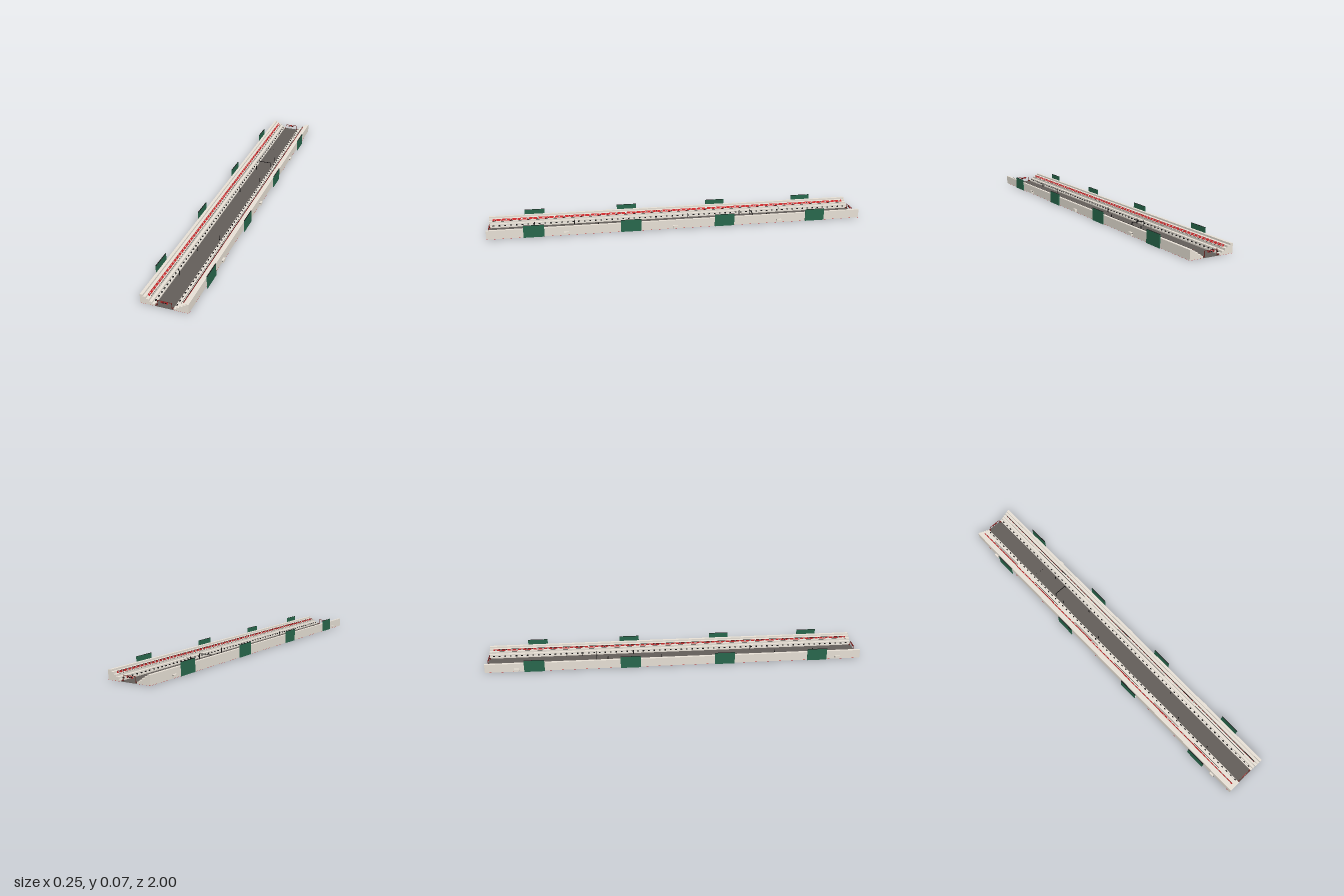
import * as THREE from 'three';

const mat = (name, color) => {
  const m = new THREE.MeshStandardMaterial({ color });
  m.name = name;
  return m;
};

export function createModel() {
  const concrete = mat('concrete', 0xe6dfd4);
  const asphalt = mat('asphalt', 0x635d59);
  const base = mat('base grey', 0x918a86);
  const red = mat('red', 0xc8282a);
  const darkRed = mat('dark red', 0x6a2a26);
  const green = mat('panel green', 0x28674c);
  const black = mat('black', 0x161414);
  const white = mat('white', 0xf2eee8);

  const root = new THREE.Group();
  root.name = 'raceStrip';

  const group = (name, parent = root) => {
    const g = new THREE.Group();
    g.name = name;
    parent.add(g);
    return g;
  };
  const box = (parent, name, m, w, h, d, x, y, z) => {
    const mesh = new THREE.Mesh(new THREE.BoxGeometry(w, h, d), m);
    mesh.name = name;
    mesh.position.set(x, y, z);
    parent.add(mesh);
    return mesh;
  };

  // Road on a pale base, thin red sheets under the stands
  box(root, 'roadBase', base, 0.09, 0.0006, 2, 0, 0.0003, 0);
  box(root, 'road', asphalt, 0.088, 0.0018, 2, 0, 0.0015, 0);
  for (const s of [-1, 1])
    box(root, 'foundation', red, 0.069, 0.0005, 2, s * 0.0795, 0.00025, 0);

  // Stepped stands, extruded along the road
  const steps = [[0.114, 0.046], [0.1, 0.0375], [0.086, 0.028], [0.071, 0.018], [0.057, 0.009], [0.044, 0.0025]];
  const profile = (s) => {
    const pts = [[0.044, 0.0005], [0.114, 0.0005], [0.114, 0.046]];
    for (let i = 1; i < steps.length; i++) {
      pts.push([steps[i][0], steps[i - 1][1]]);
      pts.push([steps[i][0], steps[i][1]]);
    }
    return new THREE.Shape(pts.map(([x, y]) => new THREE.Vector2(s * x, y)));
  };
  for (const s of [-1, 1]) {
    const geo = new THREE.ExtrudeGeometry(profile(s), { depth: 2, bevelEnabled: false });
    geo.translate(0, 0, -1);
    const stand = new THREE.Mesh(geo, concrete);
    stand.name = s > 0 ? 'leftStand' : 'rightStand';
    root.add(stand);
  }

  // Long red boards on the middle tier, with white and black marks facing the road
  for (const s of [-1, 1]) {
    const board = group(s > 0 ? 'leftBoard' : 'rightBoard');
    board.position.set(s < 0 ? -0.0815 : 0.0825, 0.0333, 0);
    board.rotation.z = s < 0 ? 0.7 : 0;
    const h = s < 0 ? 0.011 : 0.0095;
    box(board, 'boardPanel', red, 0.001, h, 1.96, 0, 0, 0);
    for (let i = 0; i < 70; i++) {
      const z = -0.966 + i * 0.028;
      box(board, 'whiteMark', white, 0.0006, 0.006, 0.01, -s * 0.0007, 0, z);
      box(board, 'blackMark', black, 0.0006, 0.003, 0.004, -s * 0.0011, 0, z);
    }
    if (s > 0) box(board, 'boardCap', black, 0.002, 0.0008, 1.96, 0, h / 2, 0);
    box(root, 'tierEdge', black, 0.001, 0.001, 1.96, s * 0.0717, 0.0282, 0);
  }

  // Low fence along each road edge: black posts between white panels
  for (const s of [-1, 1]) {
    const fence = group(s > 0 ? 'leftFence' : 'rightFence');
    for (let i = 0; i < 66; i++) {
      const z = -0.975 + i * 0.03;
      box(fence, 'fencePost', black, 0.005, 0.0115, 0.009, s * 0.0505, 0.008, z);
      if (i < 65) box(fence, 'fencePanel', white, 0.002, 0.008, 0.021, s * 0.0505, 0.008, z + 0.015);
    }
  }

  // Gate at each end with a lamp sign
  for (const s of [-1, 1]) {
    const gate = group(s > 0 ? 'startGate' : 'finishGate');
    const z = s * 0.994;
    for (const p of [-1, 1]) {
      box(gate, 'gatePost', darkRed, 0.0022, 0.0275, 0.0022, p * 0.033, 0.01575, z);
      box(gate, 'gateFoot', darkRed, 0.007, 0.0045, 0.008, p * 0.0395, 0.0045, z);
    }
    box(gate, 'gateBeam', darkRed, 0.0685, 0.002, 0.0022, 0, 0.029, z);
    box(gate, 'gateSign', red, 0.034, 0.0065, 0.003, -0.001, 0.0225, z);
    for (const p of [-1, 1]) {
      box(gate, 'signFace', black, 0.026, 0.0042, 0.0006, -0.001, 0.0225, z + p * 0.0017);
      for (const x of [-0.007, -0.001, 0.005])
        box(gate, 'signLamp', white, 0.003, 0.0016, 0.0006, x, 0.0225, z + p * 0.0021);
    }
  }

  // Sagging row of lamps across the road
  const bulb = new THREE.SphereGeometry(0.0009, 6, 4);
  const lamps = group('lampString');
  for (let i = 0; i <= 16; i++) {
    const x = -0.04 + i * 0.005;
    const lamp = new THREE.Mesh(bulb, black);
    lamp.name = 'lamp';
    lamp.position.set(x, 0.038 + 0.004 * (x / 0.04) ** 2, -0.58);
    lamps.add(lamp);
  }

  // Black gantry and single road posts
  const gantry = group('gantry');
  box(gantry, 'gantryBeam', black, 0.07, 0.002, 0.004, 0, 0.0285, -0.42);
  for (const s of [-1, 1])
    box(gantry, 'gantryPost', black, 0.0018, 0.026, 0.003, s * 0.034, 0.0155, -0.42);
  for (const [x, z] of [[-0.033, 0.76], [-0.033, 0.55], [0.033, 0.425], [-0.033, -0.07],
    [0.033, -0.22], [-0.033, -0.36], [0.033, -0.5]])
    box(root, 'roadPost', black, 0.003, 0.025, 0.004, x, 0.0148, z);

  // Green panels beside the outer walls, with a black top edge
  for (const s of [-1, 1])
    for (const z of [-0.742, -0.24, 0.26, 0.76]) {
      const panel = group('sidePanel');
      box(panel, 'panel', green, 0.004, 0.064, 0.106, s * 0.1245, 0.035, z);
      box(panel, 'panelCap', black, 0.004, 0.001, 0.106, s * 0.1245, 0.0675, z);
    }

  // Service boxes on the outer walls
  const boxes = { 1: [0.595, 0.025, -0.545], '-1': [0.875, 0.3, -0.265, -0.835] };
  for (const s of [-1, 1])
    for (const z of boxes[s]) {
      const unit = group('serviceBox');
      box(unit, 'boxBody', concrete, 0.011, 0.014, 0.025, s * 0.119, 0.012, z);
      for (const p of [-1, 1])
        box(unit, 'boxVent', black, 0.007, 0.002, 0.0006, s * 0.119, 0.015, z + p * 0.0127);
    }

  return root;
}
